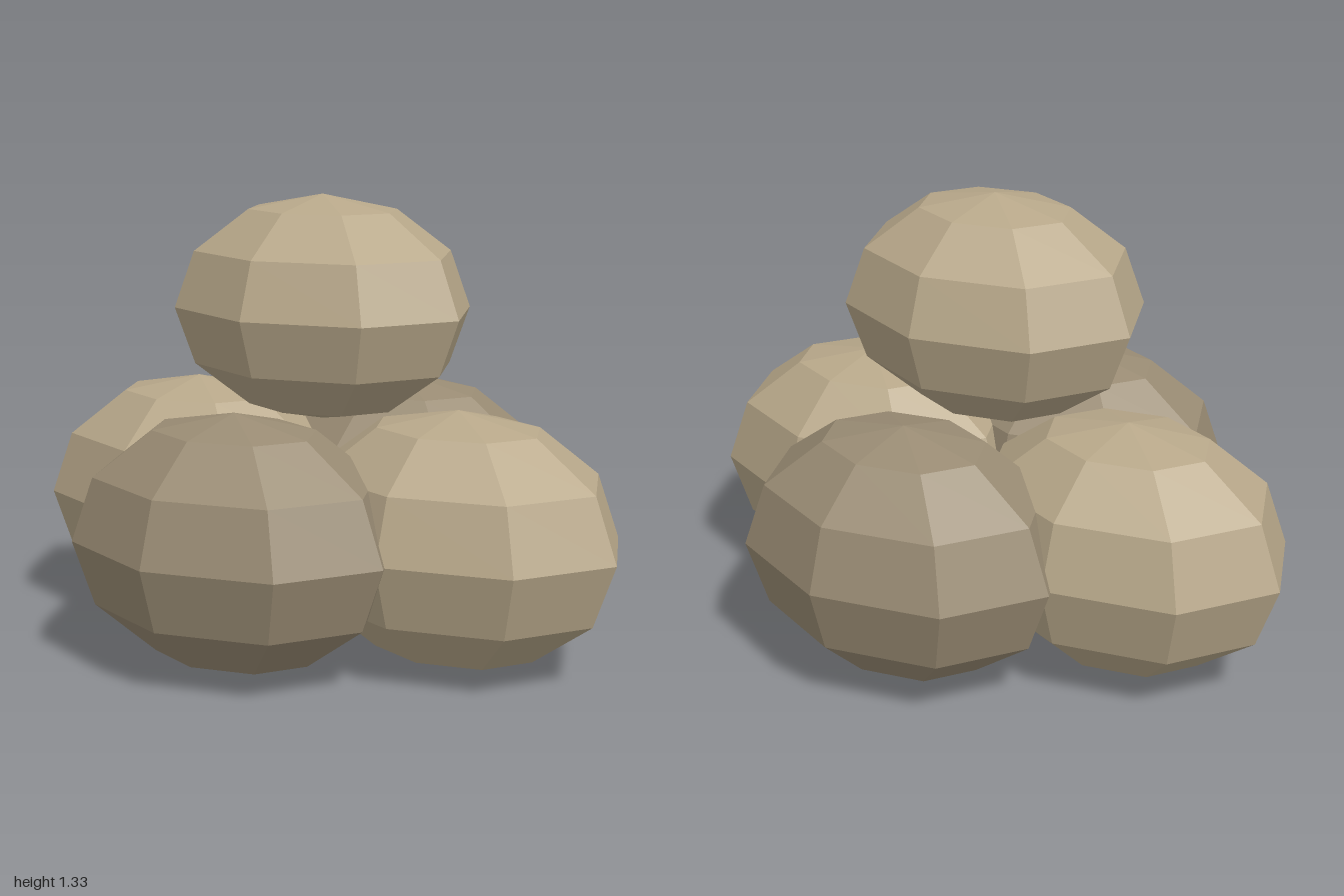
import * as THREE from 'three';

export function createModel() {
  const group = new THREE.Group();
  const light = new THREE.MeshStandardMaterial({ color: 0xb8a88a, flatShading: true });
  const dark = new THREE.MeshStandardMaterial({ color: 0x9a8c74, flatShading: true });

  // One faceted, squashed boulder
  function addStone(name, material, radii, position) {
    const geometry = new THREE.SphereGeometry(1, 8, 6).scale(...radii);
    const stone = new THREE.Mesh(geometry, material);
    stone.name = name;
    stone.position.set(...position);
    group.add(stone);
  }

  // Ring of four base stones
  const base = [0.518, 0.372, 0.402];
  addStone('leftStone', light, base, [0.482, 0.372, 0]);
  addStone('rightStone', light, base, [-0.482, 0.372, 0]);
  addStone('frontStone', dark, base, [0, 0.372, 0.413]);
  addStone('backStone', dark, base, [0, 0.372, -0.413]);

  // Smaller stone resting on top
  addStone('topStone', light, [0.48, 0.333, 0.385], [0, 0.997, 0]);

  group.name = 'stonePile';
  return group;
}
